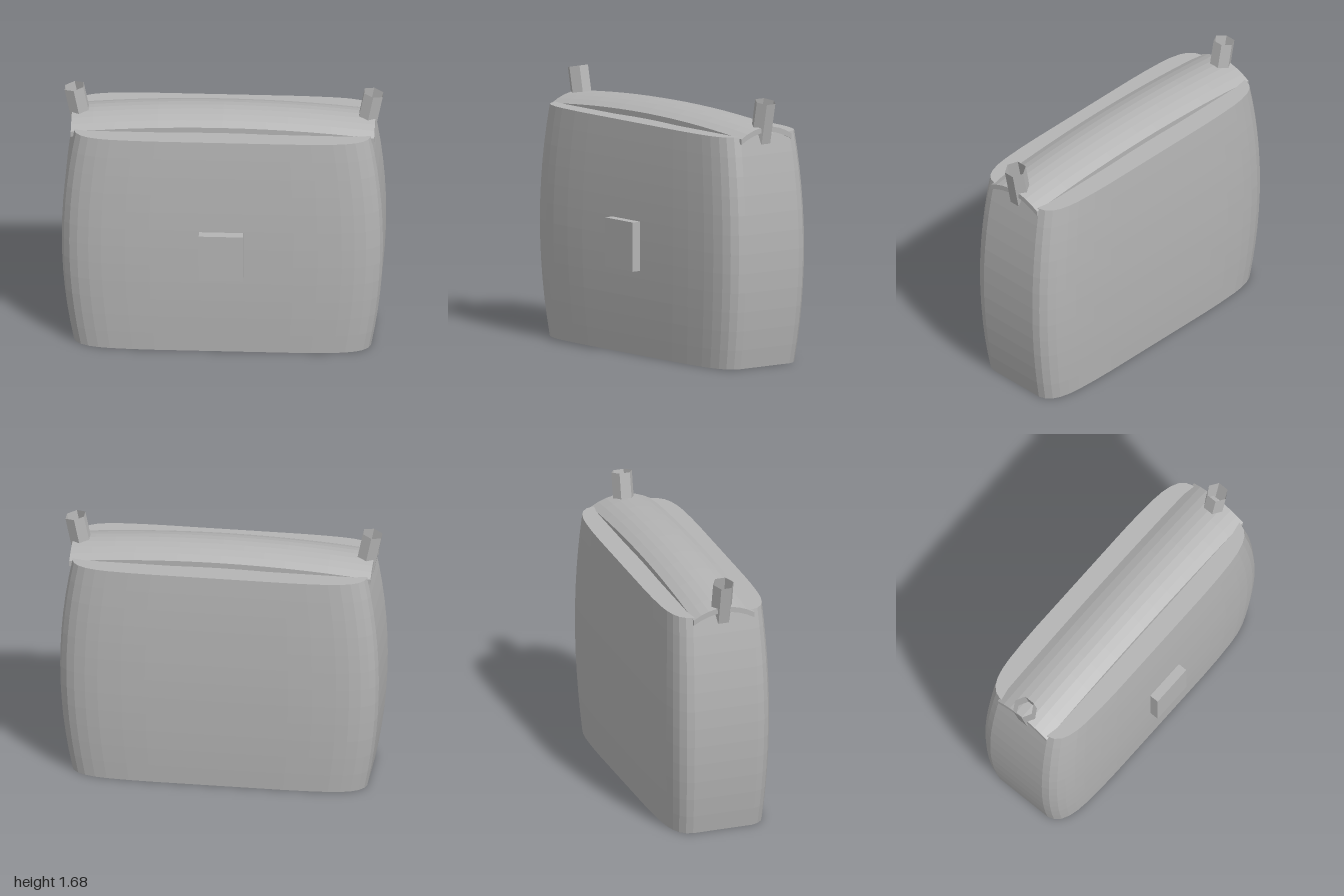
import * as THREE from 'three';

const ZC = -0.033; // middle of the body in depth
const HEIGHT = 1.46;

// Closed outline of the body at its widest level, built from one rounded corner
function outline() {
  const corner = [[1, 0.21], [0.985, 0.255], [0.95, 0.292], [0.9, 0.317],
    [0.83, 0.335], [0.75, 0.345], [0.6, 0.353], [0.45, 0.356]];
  const back = [...corner].reverse();
  return [
    ...corner,
    ...back.map(([x, z]) => [-x, z]),
    ...corner.map(([x, z]) => [-x, -z]),
    ...back.map(([x, z]) => [x, -z]),
  ];
}

// Bulging body: outlines stacked in rings, closed top and bottom
function bodyGeometry() {
  const ring = outline();
  const n = ring.length;
  const levels = 12;
  const pos = [];
  const point = (i, j) => {
    const t = (2 * j) / levels - 1;
    const s = 1 - 0.075 * t * t;
    const [x, z] = ring[i % n];
    return [x * s, (HEIGHT * j) / levels, ZC + z * s];
  };
  for (let i = 0; i < n; i++) {
    for (let j = 0; j < levels; j++) {
      const a = point(i, j), b = point(i + 1, j);
      const c = point(i + 1, j + 1), d = point(i, j + 1);
      pos.push(...a, ...c, ...b, ...a, ...d, ...c);
    }
    pos.push(0, 0, ZC, ...point(i, 0), ...point(i + 1, 0));
    pos.push(0, HEIGHT, ZC, ...point(i + 1, levels), ...point(i, levels));
  }
  const geo = new THREE.BufferGeometry();
  geo.setAttribute('position', new THREE.Float32BufferAttribute(pos, 3));
  geo.computeVertexNormals();
  return geo;
}

// Thin lid arched along both its length and its depth
function lidGeometry() {
  const geo = new THREE.BoxGeometry(1.89, 0.035, 0.4, 14, 1, 8);
  const p = geo.attributes.position;
  for (let i = 0; i < p.count; i++) {
    const u = p.getX(i) / 0.945, v = p.getZ(i) / 0.2;
    p.setY(i, p.getY(i) + 1.5425 - 0.05 * u * u - 0.06 * v * v);
  }
  geo.computeVertexNormals();
  return geo;
}

export function createModel() {
  const group = new THREE.Group();
  const grey = new THREE.MeshStandardMaterial({
    color: 0xb4b4b4, flatShading: true, side: THREE.DoubleSide,
  });
  grey.name = 'grey';

  const add = (name, geo, x = 0, y = 0, z = 0) => {
    const mesh = new THREE.Mesh(geo, grey);
    mesh.name = name;
    mesh.position.set(x, y, z);
    group.add(mesh);
    return mesh;
  };

  add('body', bodyGeometry());
  add('lid', lidGeometry(), 0, 0, ZC + 0.003);
  add('frontClasp', new THREE.BoxGeometry(0.275, 0.31, 0.06), 0, 0.695, 0.361);

  // Open hexagonal strap loops leaning outwards at both ends
  for (const side of [-1, 1]) {
    const loop = add(side > 0 ? 'leftStrapLoop' : 'rightStrapLoop',
      new THREE.CylinderGeometry(0.068, 0.068, 0.26, 6, 1, true),
      side * 0.907, 1.54, ZC + 0.003);
    loop.rotation.z = -side * 0.2;
  }
  return group;
}
